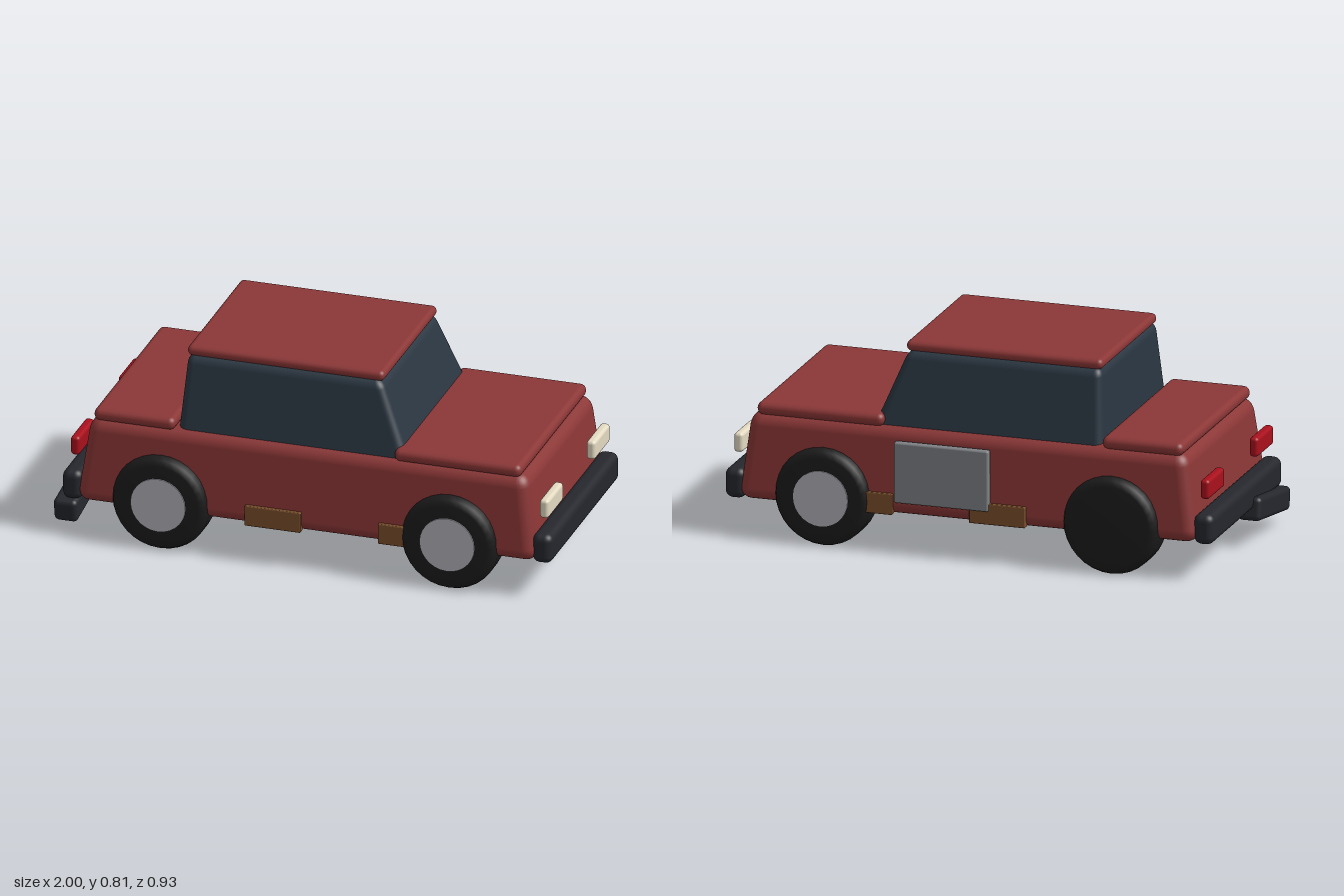
import * as THREE from 'three';
import { RoundedBoxGeometry } from 'three/addons/geometries/RoundedBoxGeometry.js';

const mat = (color) => new THREE.MeshStandardMaterial({ color });
const paint = mat(0x8b3636), glass = mat(0x2a3641), rubber = mat(0x1c1c1c), hubGrey = mat(0xb2b2ba);
const trim = mat(0x25272d), lamp = mat(0xe4dac2), tail = mat(0xa8101c), rust = mat(0x7a4f2c), primer = mat(0x808286);

// Rounded box given by its [min, max] range on each axis
function box(name, material, [x0, x1], [y0, y1], [z0, z1], r) {
  const geo = new RoundedBoxGeometry(x1 - x0, y1 - y0, z1 - z0, 3, r);
  const mesh = new THREE.Mesh(geo, material);
  mesh.position.set((x0 + x1) / 2, (y0 + y1) / 2, (z0 + z1) / 2);
  mesh.name = name;
  return mesh;
}

// Rounded box narrowing from a bottom to a top footprint { x0, x1, z }
function taperedBox(name, material, bottom, top, [y0, y1], r) {
  const w = bottom.x1 - bottom.x0, d = 2 * bottom.z, h = y1 - y0;
  const geo = new RoundedBoxGeometry(w, h, d, 3, r);
  const p = geo.attributes.position, n = geo.attributes.normal;
  const v = new THREE.Vector3();
  for (let i = 0; i < p.count; i++) {
    const t = p.getY(i) / h + 0.5, u = p.getX(i) / w + 0.5, q = p.getZ(i) / bottom.z;
    const a = THREE.MathUtils.lerp(bottom.x0, top.x0, t), b = THREE.MathUtils.lerp(bottom.x1, top.x1, t);
    const z = THREE.MathUtils.lerp(bottom.z, top.z, t);
    p.setXYZ(i, a + (b - a) * u, y0 + h * t, q * z);
    // tilt the normals with the sloping sides
    const dx = ((top.x0 - bottom.x0) * (1 - u) + (top.x1 - bottom.x1) * u) / h;
    const dz = (q * (top.z - bottom.z)) / h;
    const nx = n.getX(i) * w / (b - a), nz = n.getZ(i) * bottom.z / z;
    v.set(nx, n.getY(i) - nx * dx - nz * dz, nz).normalize();
    n.setXYZ(i, v.x, v.y, v.z);
  }
  const mesh = new THREE.Mesh(geo, material);
  mesh.name = name;
  return mesh;
}

// Wheel whose outer face looks along +z, with bevelled tyre shoulders
function wheel(name, hasHub) {
  const g = new THREE.Group();
  g.name = name;
  const R = 0.194, profile = [[0, -0.075], [0.16, -0.075], [0.183, -0.064], [R, -0.042],
    [R, 0.042], [0.183, 0.064], [0.16, 0.075], [0, 0.075]];
  const geo = new THREE.LatheGeometry(profile.map(([x, y]) => new THREE.Vector2(x, y)), 32);
  geo.rotateX(Math.PI / 2);
  const tyre = new THREE.Mesh(geo, rubber);
  tyre.name = 'tyre';
  g.add(tyre);
  if (hasHub) {
    const hub = new THREE.Mesh(new THREE.CylinderGeometry(0.11, 0.11, 0.02, 28).rotateX(Math.PI / 2), hubGrey);
    hub.position.z = 0.07;
    hub.name = 'hubcap';
    g.add(hub);
  }
  return g;
}

export function createModel() {
  const car = new THREE.Group();
  car.name = 'car';

  // Body shell, cabin and lids
  car.add(
    taperedBox('body', paint, { x0: -0.91, x1: 0.94, z: 0.44 }, { x0: -0.86, x1: 0.895, z: 0.415 }, [0.15, 0.495], 0.05),
    taperedBox('cabinGlass', glass, { x0: -0.517, x1: 0.425, z: 0.395 }, { x0: -0.492, x1: 0.285, z: 0.336 }, [0.44, 0.78], 0.035),
    box('roof', paint, [-0.495, 0.295], [0.773, 0.815], [-0.33, 0.33], 0.02),
    box('hood', paint, [0.36, 0.87], [0.485, 0.536], [-0.41, 0.41], 0.024),
    box('trunkLid', paint, [-0.845, -0.52], [0.485, 0.536], [-0.41, 0.41], 0.024));

  // Bumpers and the broken piece hanging at the rear
  car.add(box('frontBumper', trim, [0.915, 0.997], [0.145, 0.265], [-0.42, 0.42], 0.03),
    box('rearBumper', trim, [-0.97, -0.89], [0.145, 0.265], [-0.42, 0.42], 0.03));
  const loose = box('looseBumperPiece', trim, [-1, -0.905], [0.078, 0.172], [0.06, 0.43], 0.02);
  loose.rotation.x = 0.157;
  car.add(loose);

  for (const s of [1, -1]) {
    const side = s > 0 ? 'left' : 'right';
    const span = (a, b) => (s > 0 ? [a, b] : [-b, -a]);

    // Lamps
    car.add(box(side + 'Headlight', lamp, [0.935, 0.972], [0.318, 0.395], span(0.19, 0.378), 0.014),
      box(side + 'TailLight', tail, [-0.945, -0.908], [0.318, 0.395], span(0.195, 0.385), 0.014));

    // Rust patches on the sills
    car.add(box(side + 'MiddleRust', rust, [-0.225, 0], [0.152, 0.235], span(0.42, 0.449), 0.004),
      box(side + 'FrontRust', rust, [0.31, 0.43], [0.152, 0.235], span(0.42, 0.449), 0.004));

    // Wheels; one rear hubcap is missing
    for (const [end, x] of [['Front', 0.593], ['Rear', -0.567]]) {
      const w = wheel(side + end + 'Wheel', s > 0 || end === 'Front');
      w.position.set(x, 0.194, s * 0.385);
      if (s < 0) w.rotation.y = Math.PI;
      car.add(w);
    }
  }

  // Unpainted door panel on one side
  car.add(box('doorPatch', primer, [-0.08, 0.3], [0.205, 0.447], [-0.459, -0.428], 0.008));
  return car;
}
